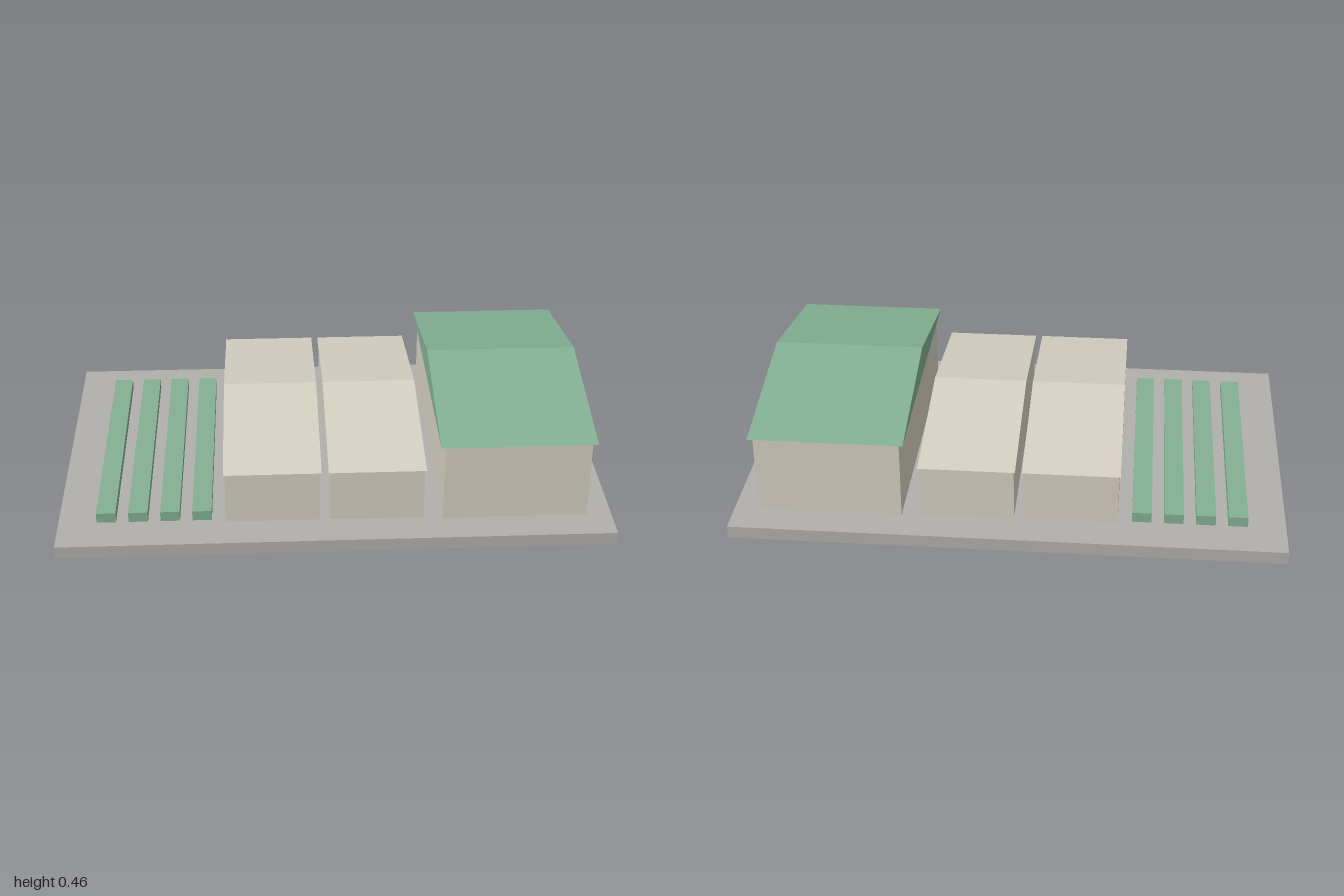
import * as THREE from 'three';

const material = (name, color) => {
  const m = new THREE.MeshStandardMaterial({ color });
  m.name = name;
  return m;
};

export function createModel() {
  const model = new THREE.Group();
  model.name = 'farmyard';
  const concrete = material('grey concrete', 0xb2b0ac);
  const plaster = material('cream plaster', 0xd4cfc1);
  const green = material('leaf green', 0x84b093);
  const ground = 0.047;

  const add = (parent, name, geometry, mat, x, y, z = 0) => {
    const mesh = new THREE.Mesh(geometry, mat);
    mesh.name = name;
    mesh.position.set(x, y, z);
    parent.add(mesh);
  };

  // Box standing on height y
  const block = (parent, name, mat, x, y, w, h, d) =>
    add(parent, name, new THREE.BoxGeometry(w, h, d), mat, x, y + h / 2);

  // Gable prism with its ridge along x
  const gable = (w, h, d) => {
    const shape = new THREE.Shape();
    shape.moveTo(-d / 2, 0);
    shape.lineTo(d / 2, 0);
    shape.lineTo(0, h);
    shape.closePath();
    return new THREE.ExtrudeGeometry(shape, { depth: w, bevelEnabled: false })
      .translate(0, 0, -w / 2)
      .rotateY(Math.PI / 2);
  };

  // Walls plus overhanging gable roof
  const building = (name, x, wall, roof, roofMaterial) => {
    const group = new THREE.Group();
    group.name = name;
    const eaves = ground + wall.h;
    block(group, 'walls', plaster, x, ground, wall.w, wall.h, wall.d);
    add(group, 'roof', gable(roof.w, roof.h, roof.d), roofMaterial, x, eaves);
    model.add(group);
  };

  block(model, 'baseSlab', concrete, 0, 0, 2, ground, 1.3);

  building('mainBarn', 0.648, { w: 0.525, h: 0.303, d: 1.05 }, { w: 0.558, h: 0.107, d: 1.085 }, green);
  for (const [name, x] of [['outerShed', -0.227], ['innerShed', 0.148]])
    building(name, x, { w: 0.34, h: 0.203, d: 1.03 }, { w: 0.35, h: 0.08, d: 1.055 }, plaster);

  // Planting beds
  for (let i = 0; i < 4; i++)
    block(model, 'plantingBed' + (i + 1), green, -0.828 + i * 0.115, ground, 0.07, 0.038, 1);

  return model;
}
